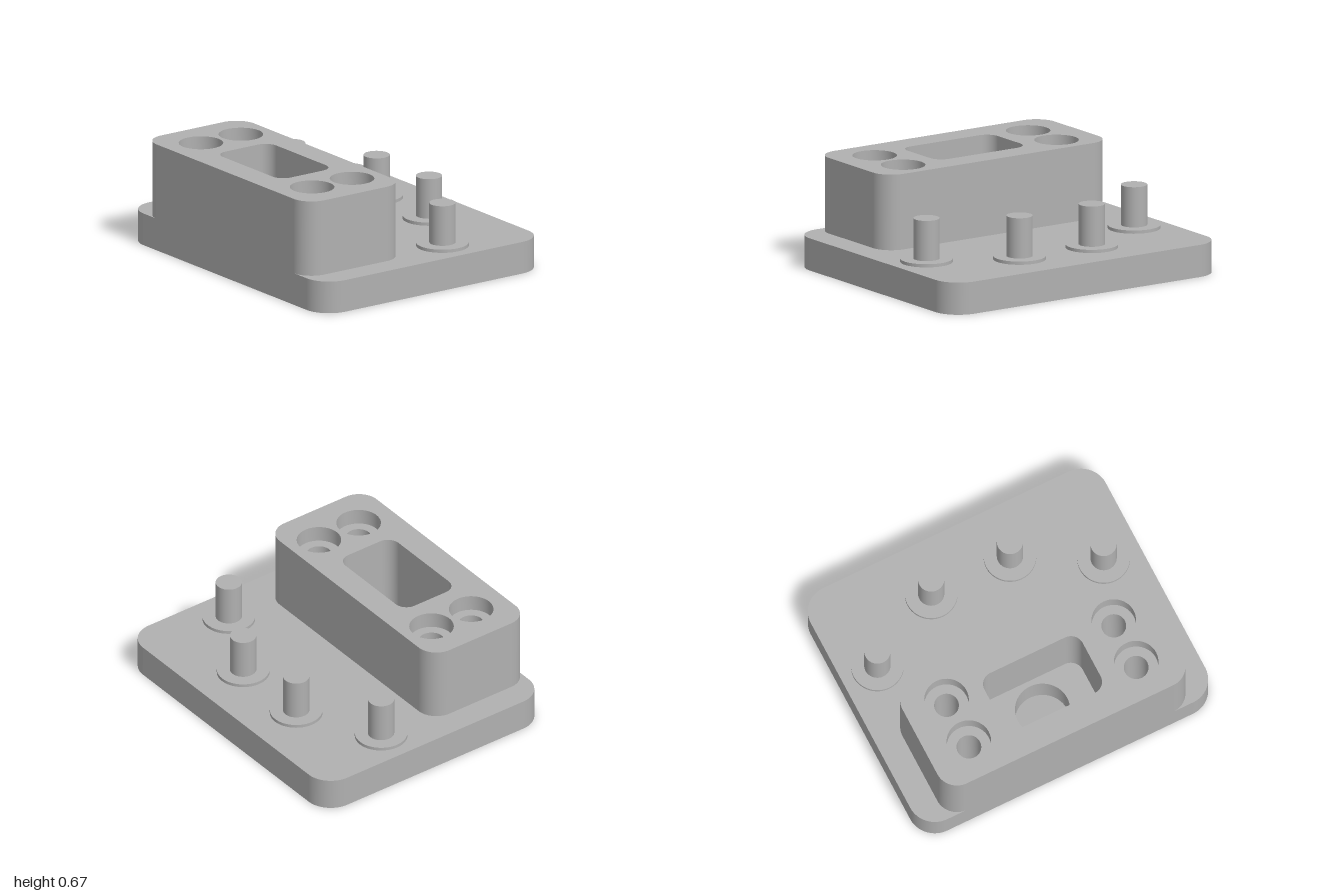
import * as THREE from 'three';
import { mergeGeometries } from 'three/addons/utils/BufferGeometryUtils.js';

const SEG = 24;
const BASE_TOP = 0.2, BORE_FLOOR = 0.57, BLOCK_TOP = 0.67;

// Outlines in plan, drawn as (x, -z) and anticlockwise from above.
function roundedRect(x0, x1, z0, z1, r) {
  const s = new THREE.Shape();
  s.absarc(x1 - r, -z0 - r, r, 0, Math.PI / 2);
  s.absarc(x0 + r, -z0 - r, r, Math.PI / 2, Math.PI);
  s.absarc(x0 + r, -z1 + r, r, Math.PI, Math.PI * 1.5);
  s.absarc(x1 - r, -z1 + r, r, Math.PI * 1.5, Math.PI * 2);
  s.closePath();
  return s;
}

function circle(x, z, r) {
  const s = new THREE.Shape();
  s.absarc(x, -z, r, 0, Math.PI * 2);
  return s;
}

// Vertical wall along an outline, facing outward or into a hole.
function wall(outline, y0, y1, inward = false) {
  const pts = outline.getPoints(SEG).filter(
    (p, i, all) => p.distanceTo(all[(i + 1) % all.length]) > 1e-5);
  const pos = [], uv = [], index = [];
  const n = pts.length;
  pts.forEach((p, i) => {
    pos.push(p.x, y0, -p.y, p.x, y1, -p.y);
    uv.push(i / n, 0, i / n, 1);
    const a = 2 * i, b = 2 * ((i + 1) % n);
    if (inward) index.push(a, b + 1, b, a, a + 1, b + 1);
    else index.push(a, b, b + 1, a, b + 1, a + 1);
  });
  const g = new THREE.BufferGeometry();
  g.setAttribute('position', new THREE.Float32BufferAttribute(pos, 3));
  g.setAttribute('uv', new THREE.Float32BufferAttribute(uv, 2));
  g.setIndex(index);
  g.computeVertexNormals();
  return g;
}

// Horizontal face with holes, facing up or down.
function face(outline, holes, y, down = false) {
  const shape = outline.clone();
  shape.holes = holes;
  const g = new THREE.ShapeGeometry(shape, SEG);
  g.rotateX(-Math.PI / 2).translate(0, y, 0);
  if (down) {
    g.index.array.reverse();
    g.computeVertexNormals();
  }
  return g;
}

export function createModel() {
  const model = new THREE.Group();
  const grey = new THREE.MeshStandardMaterial({ color: 0xb0b0b0 });
  grey.name = 'grey';

  const add = (name, geometry) => {
    const mesh = new THREE.Mesh(geometry, grey);
    mesh.name = name;
    model.add(mesh);
    return mesh;
  };

  const plate = roundedRect(-1, 1, -0.833, 0.833, 0.167);
  const block = roundedRect(-0.833, 0.833, 0.1, 0.833, 0.133);
  const pocket = roundedRect(-0.333, 0.333, 0.263, 0.663, 0.08);
  const centreHole = circle(0, 0.463, 0.167);
  const boltHoles = [], counterbores = [];
  for (const x of [-0.567, 0.567]) {
    for (const z of [0.297, 0.597]) {
      boltHoles.push(circle(x, z, 0.075));
      counterbores.push(circle(x, z, 0.135));
    }
  }

  // Base plate, pierced by the centre hole and the bolt holes
  const through = [centreHole, ...boltHoles];
  add('basePlate', mergeGeometries([
    wall(plate, 0, BASE_TOP),
    face(plate, through, 0, true),
    face(plate, through, BASE_TOP),
    ...through.map(h => wall(h, 0, BASE_TOP, true)),
  ]));

  // Raised block with a central pocket and counterbored bolt holes
  add('raisedBlock', mergeGeometries([
    wall(block, BASE_TOP, BLOCK_TOP),
    face(block, [pocket, ...counterbores], BLOCK_TOP),
    wall(pocket, BASE_TOP, BLOCK_TOP, true),
    ...counterbores.map(c => wall(c, BORE_FLOOR, BLOCK_TOP, true)),
    ...counterbores.map((c, i) => face(c, [boltHoles[i]], BORE_FLOOR)),
    ...boltHoles.map(h => wall(h, BASE_TOP, BORE_FLOOR, true)),
  ]));

  // Pins standing on thin collars
  const collarGeo = new THREE.CylinderGeometry(0.16, 0.16, 0.02, 48);
  const pinGeo = new THREE.CylinderGeometry(0.08, 0.08, 0.25, 40);
  for (const [px, z] of [[0.767, -0.235], [0.267, -0.502]]) {
    for (const x of [-px, px]) {
      add('pinCollar', collarGeo).position.set(x, BASE_TOP + 0.01, z);
      add('pin', pinGeo).position.set(x, BASE_TOP + 0.145, z);
    }
  }

  return model;
}
